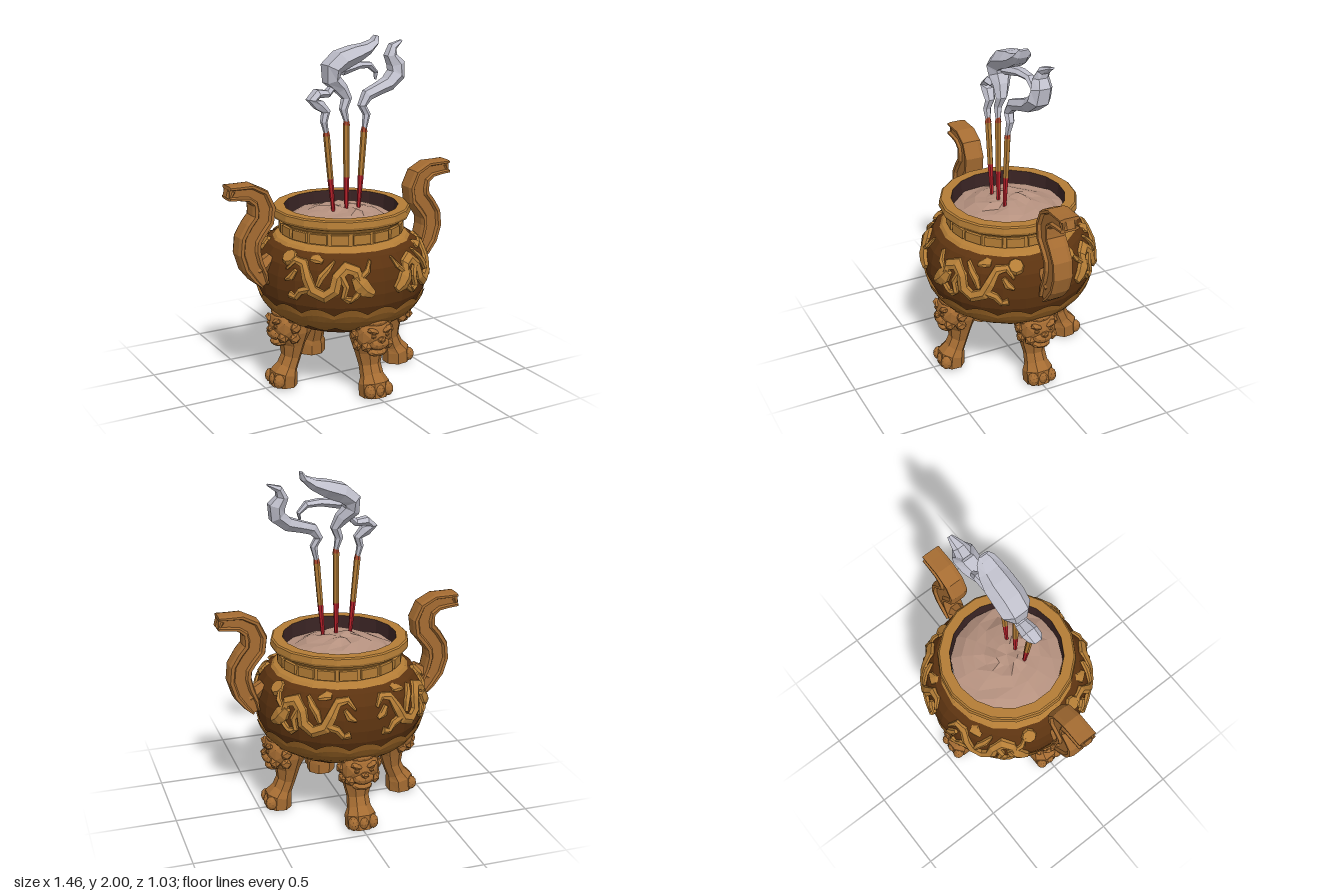
import * as THREE from 'three';

const flat = (name, color, side = THREE.FrontSide) =>
  new THREE.MeshStandardMaterial({ name, color, flatShading: true, side });
const gold = flat('gold', 0xb47d36);
const bronze = flat('bronze', 0xa56c32);
const bandGold = flat('bandGold', 0x986325, THREE.DoubleSide);
const brown = flat('darkBrown', 0x5c3310);
const soot = flat('soot', 0x3a2424);
const ash = flat('ash', 0xb5917f);
const red = flat('red', 0xb8202a);
const ember = flat('ember', 0xa8452a);
const smokeGrey = flat('smokeGrey', 0xbfbfcb);

function add(parent, name, geometry, material, x = 0, y = 0, z = 0) {
  const mesh = new THREE.Mesh(geometry, material);
  mesh.name = name;
  mesh.position.set(x, y, z);
  parent.add(mesh);
  return mesh;
}

const ngon = n => Array.from({ length: n }, (_, i) => {
  const a = (i + 0.5) / n * Math.PI * 2;
  return [Math.cos(a), Math.sin(a)];
});

// Sweeps a section along stations [x, y, z, half width in the xy plane, half depth along z]
function sweep(stations, section = ngon(6)) {
  const pos = [], index = [], n = section.length, m = stations.length;
  stations.forEach(([x, y, z, a, b], i) => {
    const p = stations[Math.max(i - 1, 0)], q = stations[Math.min(i + 1, m - 1)];
    const dx = q[0] - p[0], dy = q[1] - p[1], l = Math.hypot(dx, dy) || 1;
    for (const [u, v] of section) pos.push(x - dy / l * a * u, y + dx / l * a * u, z + b * v);
  });
  for (const s of [stations[0], stations[m - 1]]) pos.push(s[0], s[1], s[2]);
  for (let j = 0; j < n; j++) {
    const k = (j + 1) % n, e = (m - 1) * n;
    for (let i = 0; i < m - 1; i++) {
      const r = i * n;
      index.push(r + j, r + k, r + n + j, r + k, r + n + k, r + n + j);
    }
    index.push(m * n, k, j, m * n + 1, e + j, e + k);
  }
  const g = new THREE.BufferGeometry();
  g.setAttribute('position', new THREE.Float32BufferAttribute(pos, 3));
  g.setIndex(index);
  g.computeVertexNormals();
  return g;
}

const lathe = (pts, n) => new THREE.LatheGeometry(pts.map(p => new THREE.Vector2(...p)), n);

// Bowl profile [radius, height]
const bowl = [[0, 0.32], [0.2, 0.33], [0.31, 0.365], [0.4, 0.43], [0.455, 0.5], [0.487, 0.57],
  [0.497, 0.64], [0.492, 0.71], [0.475, 0.78], [0.435, 0.84], [0.36, 0.875]];
function bowlRadius(y) {
  for (let i = 1; i < bowl.length; i++) {
    const [r0, y0] = bowl[i - 1], [r1, y1] = bowl[i];
    if (y <= y1) return r0 + (r1 - r0) * Math.max(0, (y - y0) / (y1 - y0));
  }
  return 0.36;
}

// Bends flat relief (x along the girth, y up, z outward) around the bowl
function wrap(g, angle) {
  const p = g.attributes.position;
  for (let i = 0; i < p.count; i++) {
    const a = angle + p.getX(i) / 0.5, y = p.getY(i), r = bowlRadius(y) + p.getZ(i);
    p.setXYZ(i, r * Math.sin(a), y, r * Math.cos(a));
  }
  g.computeVertexNormals();
  return g;
}

function lump(parent, name, mat, x, y, z, sx, sy, sz, detail = 1) {
  return add(parent, name, new THREE.IcosahedronGeometry(1, detail).scale(sx, sy, sz), mat, x, y, z);
}

// Relief dragon with limbs, crest and clouds
function dragon(angle, dir) {
  const g = new THREE.Group();
  g.name = 'dragonRelief';
  const strand = (name, pts) => add(g, name, wrap(sweep(
    pts.map(([s, y, w]) => [s * dir, y, 0.004, w, 0.012 + w * 0.35])), angle), gold);
  strand('dragonBody', [[-0.26, 0.77, 0.008], [-0.22, 0.82, 0.018], [-0.16, 0.81, 0.025], [-0.125, 0.74, 0.032],
    [-0.09, 0.67, 0.036], [-0.02, 0.64, 0.038], [0.035, 0.68, 0.036], [0.05, 0.75, 0.034], [0.1, 0.8, 0.034],
    [0.16, 0.78, 0.032], [0.175, 0.72, 0.032]]);
  strand('dragonHead', [[0.15, 0.75, 0.03], [0.18, 0.71, 0.052], [0.21, 0.675, 0.045], [0.25, 0.65, 0.024]]);
  strand('dragonHorn', [[0.19, 0.75, 0.016], [0.225, 0.78, 0.016], [0.25, 0.83, 0.006]]);
  strand('dragonBeard', [[0.18, 0.67, 0.016], [0.15, 0.64, 0.016], [0.12, 0.61, 0.008]]);
  strand('frontLimb', [[0.07, 0.76, 0.022], [0.1, 0.7, 0.02], [0.085, 0.64, 0.018], [0.12, 0.62, 0.024]]);
  strand('rearLimb', [[-0.1, 0.68, 0.024], [-0.16, 0.66, 0.022], [-0.19, 0.62, 0.02], [-0.23, 0.63, 0.024]]);
  strand('crest', [[-0.06, 0.7, 0.014], [-0.04, 0.75, 0.022], [-0.005, 0.79, 0.018], [0.03, 0.83, 0.008]]);
  strand('tailFin', [[-0.2, 0.77, 0.014], [-0.225, 0.73, 0.022], [-0.26, 0.71, 0.008]]);
  strand('cloud', [[-0.12, 0.835, 0.012], [-0.08, 0.835, 0.02], [-0.04, 0.825, 0.01]]);
  return g;
}

// Leg with lion mask and clawed foot, facing +x
function leg() {
  const g = new THREE.Group();
  g.name = 'lionLeg';
  add(g, 'legShaft', sweep([[0.3, 0.48, 0, 0.07, 0.09], [0.325, 0.42, 0, 0.115, 0.115], [0.33, 0.33, 0, 0.125, 0.11],
    [0.325, 0.25, 0, 0.075, 0.085], [0.335, 0.17, 0, 0.058, 0.065], [0.36, 0.11, 0, 0.06, 0.07],
    [0.382, 0.075, 0, 0.08, 0.09], [0.387, 0, 0, 0.082, 0.088]], ngon(8)), bronze);
  lump(g, 'lionHead', bronze, 0.375, 0.37, 0, 0.09, 0.11, 0.115);
  lump(g, 'lionMuzzle', bronze, 0.435, 0.33, 0, 0.045, 0.04, 0.065);
  lump(g, 'lionNose', bronze, 0.465, 0.358, 0, 0.022, 0.022, 0.028, 0);
  lump(g, 'lionJaw', bronze, 0.415, 0.272, 0, 0.045, 0.025, 0.06);
  lump(g, 'lionCrown', bronze, 0.395, 0.45, 0, 0.055, 0.04, 0.075);
  for (const s of [-1, 1]) {
    lump(g, 'lionBrow', bronze, 0.443, 0.408, s * 0.043, 0.028, 0.02, 0.04, 0).rotation.x = -s * 0.35;
    lump(g, 'lionEye', bronze, 0.45, 0.38, s * 0.043, 0.016, 0.014, 0.018, 0);
    lump(g, 'lionCheek', bronze, 0.418, 0.315, s * 0.07, 0.035, 0.035, 0.035, 0);
    for (const [x, y, z] of [[0.37, 0.435, 0.095], [0.36, 0.375, 0.112], [0.36, 0.31, 0.1]])
      lump(g, 'maneCurl', bronze, x, y, s * z, 0.035, 0.035, 0.026, 0);
  }
  for (const z of [-0.058, 0, 0.058]) lump(g, 'toe', bronze, 0.44, 0.045, z, 0.035, 0.043, 0.032);
  return g;
}

// S-shaped handle with grooved sides, on +x
function handle() {
  const g = new THREE.Group();
  g.name = 'handle';
  const half = [[1, 0.6], [0.88, 1], [0.6, 1], [0.45, 0.72], [-0.45, 0.72], [-0.6, 1], [-0.88, 1], [-1, 0.6]];
  const section = [...half, ...half.map(([u, v]) => [-u, -v])];
  add(g, 'handleBar', sweep([[0.715, 1.19, 0.04], [0.66, 1.187, 0.042], [0.59, 1.182, 0.05], [0.53, 1.145, 0.06],
    [0.508, 1.08, 0.07], [0.515, 1.02, 0.07], [0.56, 0.965, 0.068], [0.595, 0.91, 0.068], [0.602, 0.84, 0.068],
    [0.58, 0.76, 0.064], [0.54, 0.69, 0.05], [0.515, 0.64, 0.025]]
    .map(([x, y, w]) => [x, y, 0, w, 0.058]), section), bronze);
  add(g, 'handleTip', sweep([[0.69, 1.2, 0, 0.035, 0.05], [0.71, 1.16, 0, 0.025, 0.045]]), bronze);
  add(g, 'handleHook', sweep([[0.55, 0.72, 0, 0.045, 0.05], [0.5, 0.75, 0, 0.045, 0.05],
    [0.455, 0.79, 0, 0.03, 0.04]]), bronze);
  return g;
}

// Incense stick with glowing tip and red foot
function incense(x0, x1, top) {
  const g = new THREE.Group();
  g.name = 'incenseStick';
  const z = 0.062, at = (y, w) => [x0 + (x1 - x0) * (y - 1.02) / (top - 1.02), y, z, w, w];
  add(g, 'stickFoot', sweep([at(1.0, 0.01), at(1.12, 0.014), at(1.21, 0.017)]), red);
  add(g, 'stickShaft', sweep([at(1.21, 0.017), at(top - 0.03, 0.019)]), gold);
  add(g, 'stickEmber', sweep([at(top - 0.03, 0.02), at(top, 0.014)]), ember);
  return g;
}

export function createModel() {
  const model = new THREE.Group();
  model.name = 'incenseBurner';

  // Vessel
  add(model, 'bowl', lathe(bowl, 24), brown);
  add(model, 'neck', lathe([[0.4, 0.858], [0.385, 0.875], [0.35, 0.885], [0.345, 0.955], [0.36, 0.965]], 18), gold);
  add(model, 'rim', lathe([[0.35, 0.955], [0.362, 0.972], [0.396, 0.985], [0.402, 1.0], [0.397, 1.033],
    [0.388, 1.04], [0.33, 1.04]], 18), gold);
  add(model, 'innerWall', lathe([[0.33, 1.04], [0.325, 0.92]], 18), soot);
  for (let i = 0; i < 18; i++) {
    const a = (i + 0.5) / 18 * Math.PI * 2;
    const plate = add(model, 'neckPlate', new THREE.BoxGeometry(0.1, 0.055, 0.02), gold,
      0.348 * Math.sin(a), 0.92, 0.348 * Math.cos(a));
    plate.rotation.y = a;
  }

  // Ash bed
  const bed = new THREE.RingGeometry(0, 0.327, 14, 5).rotateX(-Math.PI / 2);
  const p = bed.attributes.position;
  for (let i = 0; i < p.count; i++) {
    const x = p.getX(i), z = p.getZ(i), r = Math.hypot(x, z);
    p.setY(i, 1.035 - 0.75 * r * r + 0.016 * Math.sin(x * 41 + 1) * Math.cos(z * 37 + 2));
  }
  bed.computeVertexNormals();
  add(model, 'ashBed', bed, ash);

  // Scalloped petal band
  const band = new THREE.PlaneGeometry(Math.PI, 1, 96, 4);
  const b = band.attributes.position;
  for (let i = 0; i < b.count; i++) {
    const wave = Math.abs(Math.cos(b.getX(i) * 16)), t = b.getY(i) + 0.5;
    const low = 0.425 - 0.035 * wave, high = 0.525 + 0.04 * wave;
    b.setXYZ(i, b.getX(i), low + (high - low) * t, 0.012 + 0.008 * Math.sin(t * Math.PI));
  }
  add(model, 'petalBand', wrap(band, 0), bandGold);

  // Dragons around the bowl and round bosses on the shoulder
  for (const q of [0, 1]) for (const s of [-1, 1]) {
    model.add(dragon(q * Math.PI + s * 0.65, q ? s : -s));
    const a = q * Math.PI + s * 1.2;
    const boss = add(model, 'boss', new THREE.CylinderGeometry(0.04, 0.05, 0.025, 8), gold,
      0.445 * Math.sin(a), 0.825, 0.445 * Math.cos(a));
    boss.rotation.set(0.75, a, 0, 'YXZ');
  }

  // Legs and handles
  for (let i = 0; i < 4; i++) {
    const l = leg();
    l.rotation.y = i * Math.PI / 2;
    model.add(l);
  }
  for (const turn of [0, Math.PI]) {
    const h = handle();
    h.rotation.y = turn;
    model.add(h);
  }

  // Incense and curling smoke
  model.add(incense(-0.085, -0.13, 1.49), incense(0, 0, 1.54), incense(0.08, 0.117, 1.49));
  const smoke = (name, pts) => add(model, name, sweep(pts), smokeGrey);
  smoke('leftSmoke', [[-0.13, 1.48, 0.062, 0.014, 0.016], [-0.143, 1.54, 0.06, 0.02, 0.025],
    [-0.125, 1.595, 0.05, 0.026, 0.03], [-0.165, 1.635, 0.04, 0.035, 0.04], [-0.2, 1.665, 0.03, 0.034, 0.045],
    [-0.165, 1.695, 0.02, 0.028, 0.05], [-0.1, 1.69, 0.02, 0.022, 0.04], [-0.06, 1.73, 0.02, 0.02, 0.03]]);
  smoke('middleSmoke', [[0, 1.53, 0.062, 0.014, 0.016], [-0.015, 1.6, 0.055, 0.025, 0.025],
    [0.01, 1.66, 0.045, 0.03, 0.035], [-0.02, 1.715, 0.03, 0.04, 0.05], [-0.07, 1.765, 0.015, 0.05, 0.07],
    [-0.07, 1.825, 0.01, 0.055, 0.088], [-0.01, 1.87, 0.01, 0.06, 0.092], [0.08, 1.9, 0.01, 0.052, 0.088],
    [0.15, 1.925, 0.015, 0.035, 0.075], [0.2, 1.96, 0.02, 0.02, 0.055], [0.215, 1.995, 0.02, 0.008, 0.03]]);
  smoke('smokeWisp', [[0.0, 1.81, 0, 0.03, 0.05], [0.12, 1.83, -0.02, 0.022, 0.04],
    [0.2, 1.825, -0.03, 0.02, 0.03], [0.245, 1.78, -0.03, 0.012, 0.02], [0.235, 1.74, -0.02, 0.006, 0.01]]);
  smoke('rightSmoke', [[0.117, 1.48, 0.062, 0.014, 0.016], [0.135, 1.56, 0.055, 0.022, 0.025],
    [0.108, 1.61, 0.05, 0.026, 0.03], [0.145, 1.665, 0.04, 0.036, 0.04], [0.22, 1.69, 0.025, 0.036, 0.05],
    [0.3, 1.715, 0.01, 0.042, 0.065], [0.36, 1.765, 0, 0.05, 0.07], [0.365, 1.825, -0.01, 0.05, 0.065],
    [0.335, 1.875, -0.02, 0.036, 0.05], [0.355, 1.92, -0.03, 0.024, 0.04], [0.42, 1.95, -0.04, 0.006, 0.015]]);
  return model;
}
